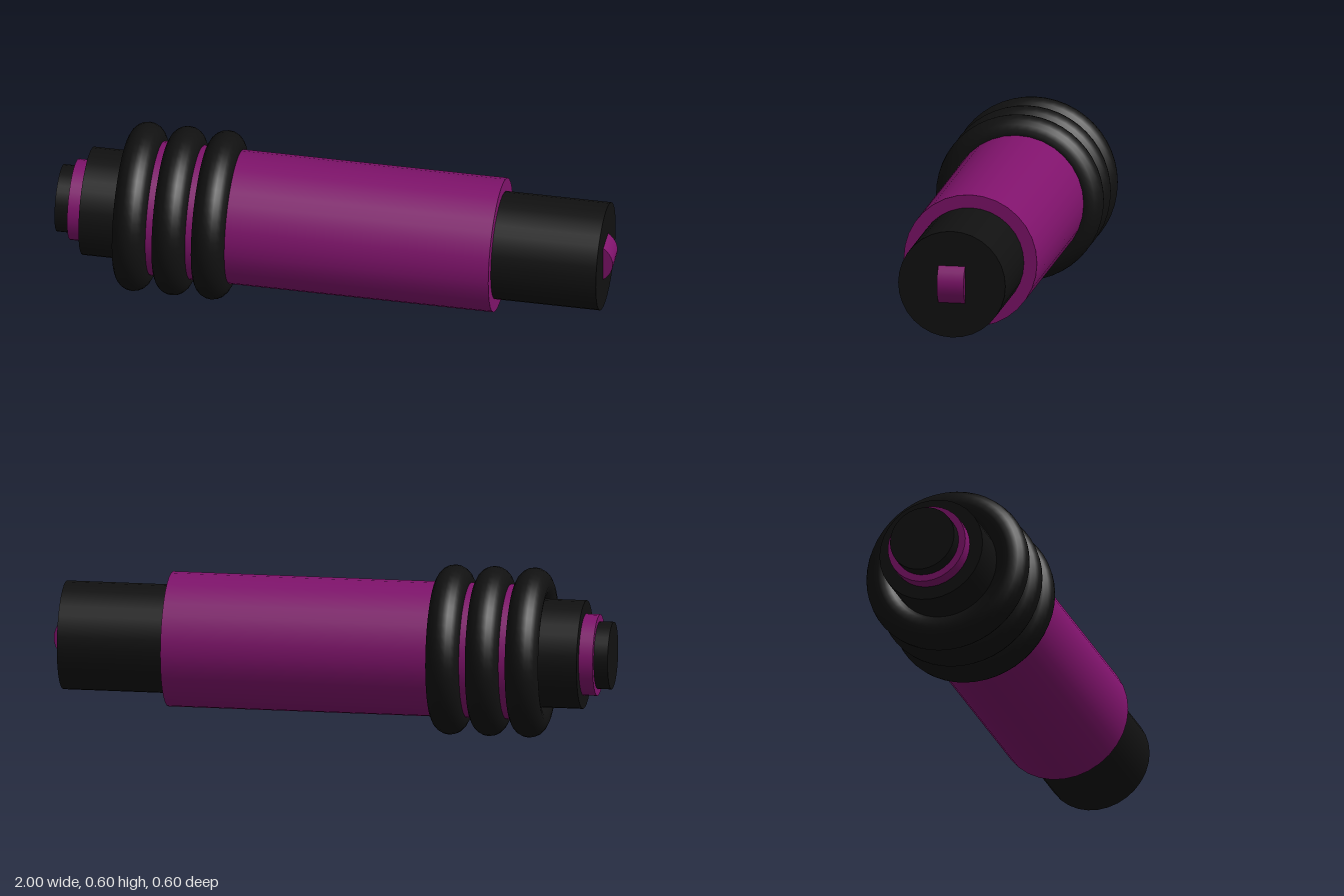
import * as THREE from 'three';

const AXIS_Y = 0.302;

export function createModel() {
  const group = new THREE.Group();
  const black = new THREE.MeshStandardMaterial({ color: 0x111111 });
  const purple = new THREE.MeshStandardMaterial({ color: 0x80136c });

  const add = (name, geometry, material, x) => {
    const mesh = new THREE.Mesh(geometry, material);
    mesh.name = name;
    mesh.position.set(x, AXIS_Y, 0);
    group.add(mesh);
  };

  // Cylinder along x between two ends
  const barrel = (name, x0, x1, radius, material) =>
    add(name, new THREE.CylinderGeometry(radius, radius, x1 - x0, 32).rotateZ(Math.PI / 2), material, (x0 + x1) / 2);

  // Stepped handle
  barrel('endCap', -1, -0.95, 0.12, black);
  barrel('endCollar', -0.95, -0.9, 0.145, purple);
  barrel('rearSleeve', -0.9, -0.7, 0.193, black);
  barrel('body', -0.7, 0.587, 0.24, purple);
  barrel('frontSleeve', 0.587, 0.966, 0.193, black);

  // Rounded grip rings
  [-0.71, -0.567, -0.425].forEach((x, i) =>
    add(`gripRing${i + 1}`, new THREE.TorusGeometry(0.242, 0.06, 20, 48).rotateY(Math.PI / 2), black, x));

  // Round wheel half sunk into the front end, its axle along z
  add('tipWheel', new THREE.CylinderGeometry(0.084, 0.084, 0.096, 32).rotateX(Math.PI / 2).rotateZ(Math.PI / 2), purple, 0.916);

  return group;
}
